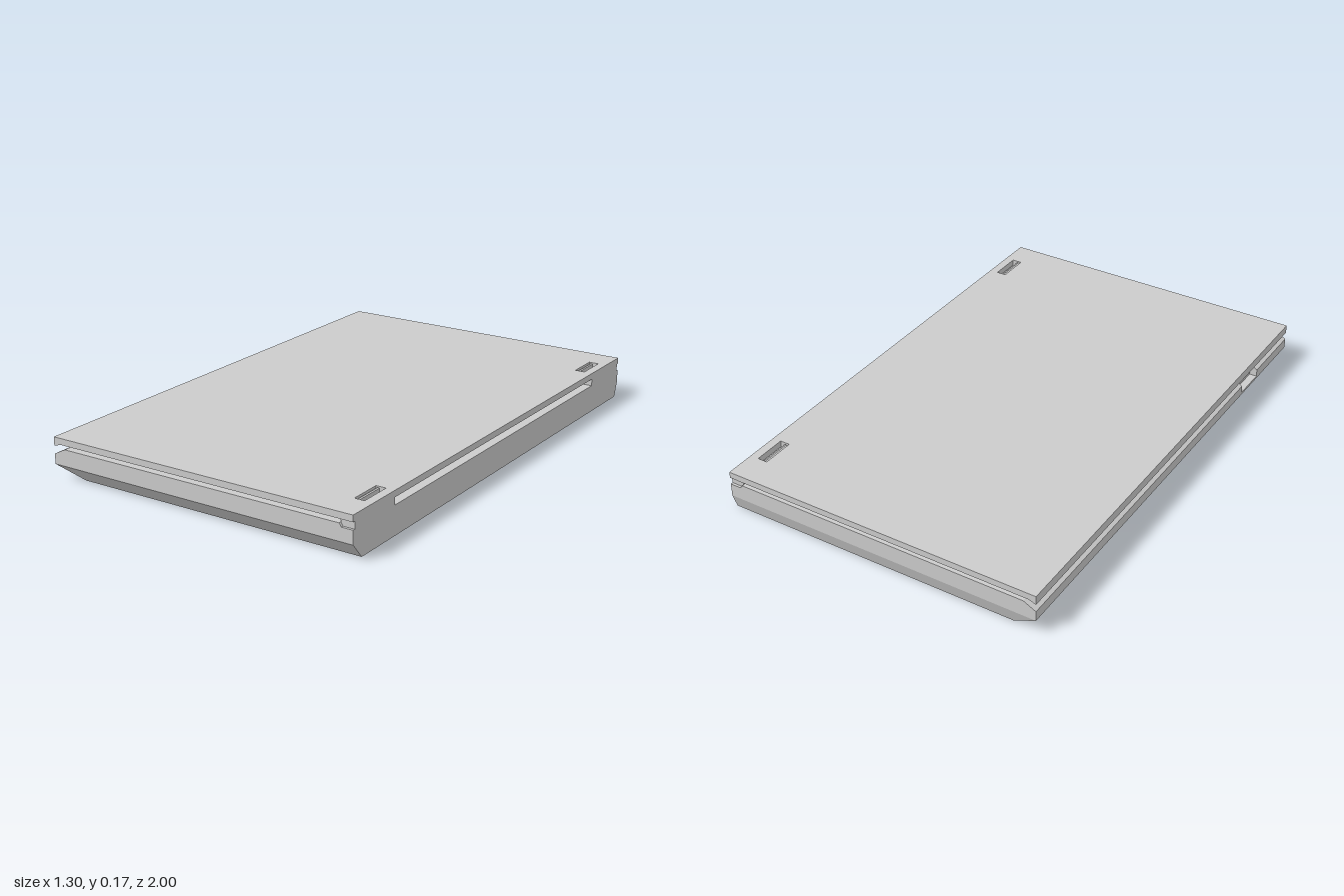
import * as THREE from 'three';

const grey = () => new THREE.MeshStandardMaterial({ color: 0xcccccc, flatShading: true });

// Extrudes an x-y profile from z0 to z1.
function prism(name, points, z0, z1) {
  const shape = new THREE.Shape(points.map(([x, y]) => new THREE.Vector2(x, y)));
  const geo = new THREE.ExtrudeGeometry(shape, { depth: z1 - z0, bevelEnabled: false });
  geo.translate(0, 0, z0);
  const mesh = new THREE.Mesh(geo, grey());
  mesh.name = name;
  return mesh;
}

function rectPath(path, x0, z0, x1, z1) {
  path.moveTo(x0, z0);
  path.lineTo(x1, z0);
  path.lineTo(x1, z1);
  path.lineTo(x0, z1);
  path.closePath();
  return path;
}

export function createModel() {
  const model = new THREE.Group();
  model.name = 'closedLaptop';

  // Underside tray, its bottom edge drawn inwards on three sides
  const tray = prism('baseTray', [[-0.55, 0], [0.65, 0], [0.65, 0.06], [-0.65, 0.06]], -1, 1);
  const pos = tray.geometry.attributes.position;
  for (let i = 0; i < pos.count; i++) {
    if (pos.getY(i) < 0.01) pos.setZ(i, pos.getZ(i) > 0 ? 0.95 : -0.98);
  }
  tray.geometry.computeVertexNormals();
  model.add(tray);

  // Keyboard base, with a step for the hinges and a latch notch in the opening edge
  const rear = [[0.65, 0.06], [0.65, 0.112], [0.605, 0.112], [0.595, 0.125]];
  const full = [[-0.65, 0.06], ...rear, [-0.6, 0.125], [-0.65, 0.1]];
  const notched = [[-0.65, 0.06], ...rear, [-0.6, 0.125], [-0.62, 0.115], [-0.62, 0.07], [-0.65, 0.07]];
  model.add(
    prism('baseBody', full, -1, 0.58),
    prism('latchNotch', notched, 0.58, 0.72),
    prism('baseCorner', full, 0.72, 1)
  );

  // Lid panel with a window over each hinge
  const outline = rectPath(new THREE.Shape(), -0.65, -1, 0.65, 1);
  for (const [z0, z1] of [[-0.88, -0.75], [0.75, 0.88]]) {
    outline.holes.push(rectPath(new THREE.Path(), 0.575, z0, 0.615, z1));
  }
  const lidGeo = new THREE.ExtrudeGeometry(outline, { depth: 0.025, bevelEnabled: false });
  lidGeo.rotateX(-Math.PI / 2);
  lidGeo.translate(0, 0.14, 0);
  const lid = new THREE.Mesh(lidGeo, grey());
  lid.name = 'lid';
  model.add(lid);

  // Lip under the lid's opening edge
  model.add(prism('lidLip', [[-0.65, 0.13], [-0.62, 0.14], [-0.65, 0.14]], -1, 1));

  // Hinge blocks, set in slightly from the ends, and the knuckles in the windows
  const hinge = [[0.6, 0.112], [0.65, 0.112], [0.65, 0.14], [0.585, 0.14], [0.595, 0.133]];
  const knuckle = [[0.577, 0.135], [0.592, 0.135], [0.592, 0.161], [0.585, 0.162], [0.577, 0.157]];
  for (const s of [-1, 1]) {
    const span = (a, b) => (s > 0 ? [a, b] : [-b, -a]);
    model.add(prism('hingeBlock', hinge, ...span(0.75, 0.99)));
    model.add(prism('hingeKnuckle', knuckle, ...span(0.755, 0.875)));
  }
  return model;
}
